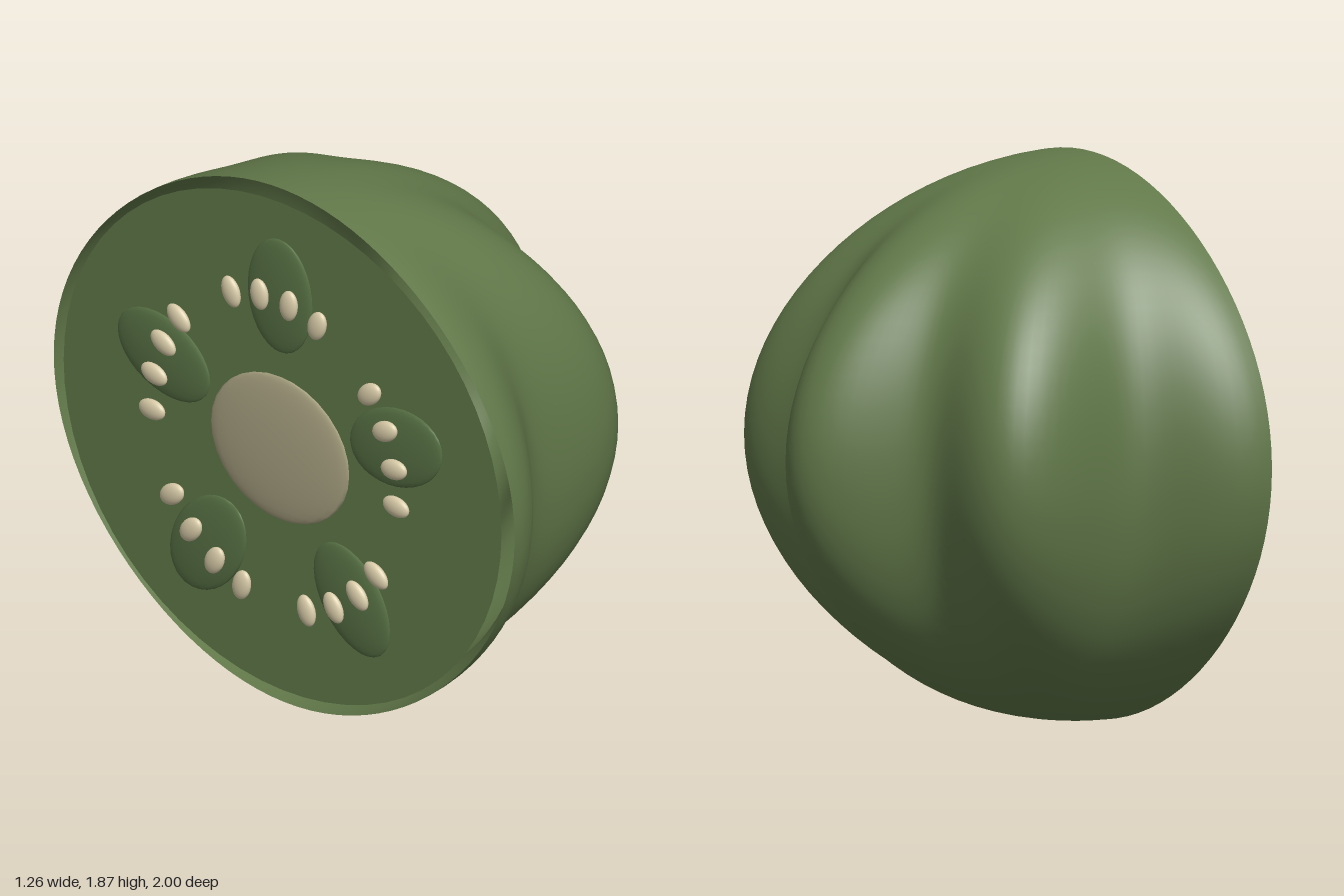
import * as THREE from 'three';

const CUT_X = -0.56, MID_Y = 0.935;

export function createModel() {
  const mat = (name, color, side = THREE.FrontSide) => {
    const m = new THREE.MeshStandardMaterial({ color, side });
    m.name = name;
    return m;
  };
  const skin = mat('green skin', 0x617849, THREE.DoubleSide);
  const podGreen = mat('pod green', 0x577144);
  const coreTan = mat('core tan', 0xaaa382);
  const seedCream = mat('seed cream', 0xd8cba8);

  const group = new THREE.Group();
  const add = (parent, name, geometry, material) => {
    const mesh = new THREE.Mesh(geometry, material);
    mesh.name = name;
    parent.add(mesh);
    return mesh;
  };

  // Half body: eight lobes round the vertical axis, fading out towards the poles
  const body = new THREE.SphereGeometry(1, 96, 48, Math.PI / 2, Math.PI);
  const p = body.attributes.position;
  for (let i = 0; i < p.count; i++) {
    const x = p.getX(i), y = p.getY(i), z = p.getZ(i);
    const fade = 1 - y * y;
    const s = 0.91 + 0.09 * fade * Math.cos(8 * Math.atan2(z, x));
    p.setXYZ(i, x * s * 1.19, y * MID_Y, z * s);
  }
  body.computeVertexNormals();
  add(group, 'lobedBody', body, skin).position.set(CUT_X, MID_Y, 0);

  // Flat cut face, a little smaller than the open rim
  const face = new THREE.CircleGeometry(0.95, 64);
  face.rotateY(-Math.PI / 2);
  const cut = add(group, 'cutFace', face, skin);
  cut.position.set(CUT_X - 0.008, MID_Y, 0);
  cut.scale.y = MID_Y;

  // Core in the middle of the cut face
  const ball = new THREE.SphereGeometry(1, 24, 16);
  const core = add(group, 'core', ball, coreTan);
  core.position.set(-0.58, MID_Y, 0);
  core.scale.set(0.025, 0.26, 0.3);

  // Five pods, each with an arc of four seeds; angles run from the top
  const place = (mesh, x, angle) => {
    mesh.position.set(x, MID_Y + 0.555 * Math.cos(angle), 0.53 * Math.sin(angle));
    mesh.rotation.x = angle;
  };
  for (let i = 0; i < 5; i++) {
    const angle = (i / 5) * Math.PI * 2;
    const chamber = new THREE.Group();
    chamber.name = 'seedChamber' + (i + 1);
    group.add(chamber);

    const pod = add(chamber, 'pod', ball, podGreen);
    pod.scale.set(0.02, 0.205, 0.14);
    place(pod, -0.58, angle);

    for (let j = 0; j < 4; j++) {
      const seed = add(chamber, 'seed', ball, seedCream);
      seed.scale.set(0.02, 0.055, 0.036);
      place(seed, -0.61, angle + (j - 1.5) * 0.24);
    }
  }
  return group;
}
